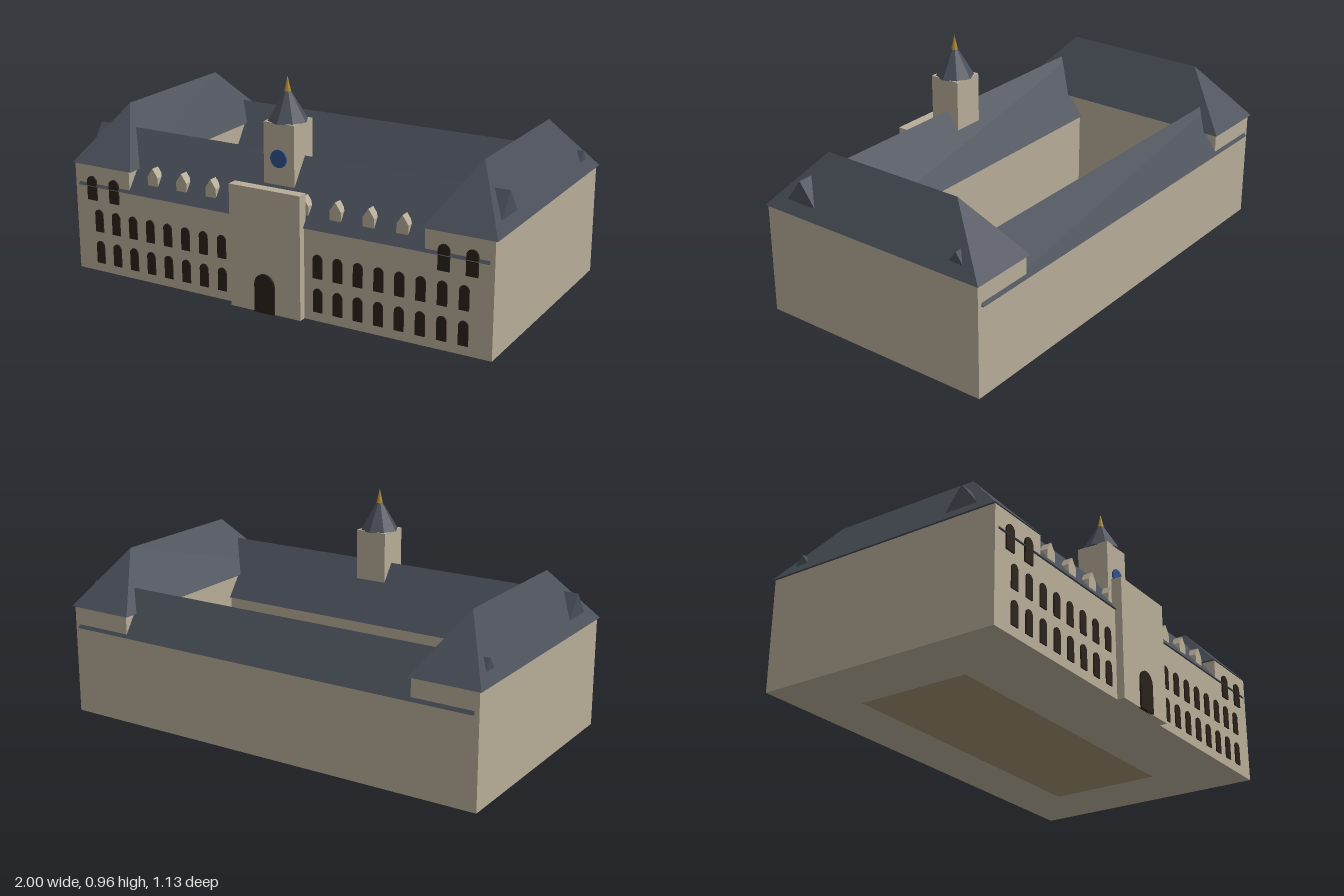
import * as THREE from 'three';
import { ConvexGeometry } from 'three/addons/geometries/ConvexGeometry.js';

const mat = (color) => new THREE.MeshStandardMaterial({ color, flatShading: true });

export function createModel() {
  const model = new THREE.Group();
  const stone = mat(0xb8ad98), slate = mat(0x4a4f59), dark = mat(0x2a2018);
  const paving = mat(0xa09070), blue = mat(0x2f4f8f), gold = mat(0xb08a30);

  const add = (name, geometry, material, parent = model) => {
    const mesh = new THREE.Mesh(geometry, material);
    mesh.name = name;
    parent.add(mesh);
    return mesh;
  };
  const group = (name) => {
    const g = new THREE.Group();
    g.name = name;
    model.add(g);
    return g;
  };
  // Box given by its limits on each axis
  const block = (name, [x0, x1], [y0, y1], [z0, z1], material) => {
    const mesh = add(name, new THREE.BoxGeometry(x1 - x0, y1 - y0, z1 - z0), material);
    mesh.position.set((x0 + x1) / 2, (y0 + y1) / 2, (z0 + z1) / 2);
    return mesh;
  };
  // Solid roof over a rectangle, rising to a ridge between two points
  const roof = (name, [x0, x1], [z0, z1], eave, ridgeA, ridgeB) => {
    const corners = [[x0, eave, z0], [x1, eave, z0], [x0, eave, z1], [x1, eave, z1], ridgeA, ridgeB];
    return add(name, new ConvexGeometry(corners.map((p) => new THREE.Vector3(...p))), slate);
  };
  // Round-arched panel standing on y = 0
  const archPanel = (w, h, depth) => {
    const s = new THREE.Shape();
    s.moveTo(-w / 2, 0);
    s.lineTo(w / 2, 0);
    s.lineTo(w / 2, h - w / 2);
    s.absarc(0, h - w / 2, w / 2, 0, Math.PI);
    s.lineTo(-w / 2, 0);
    return new THREE.ExtrudeGeometry(s, { depth, bevelEnabled: false, curveSegments: 8 });
  };

  // Courtyard and the long wings
  block('courtyardFloor', [-0.7, 0.7], [0, 0.01], [-0.32, 0.185], paving);
  block('frontWingWalls', [-0.7, 0.7], [0, 0.39], [0.185, 0.525], stone);
  block('backWingWalls', [-0.7, 0.7], [0, 0.39], [-0.555, -0.32], stone);
  roof('frontWingRoof', [-0.97, 0.97], [0.175, 0.534], 0.39, [-0.97, 0.63, 0.355], [0.97, 0.63, 0.355]);
  roof('backWingRoof', [-0.97, 0.97], [-0.565, -0.31], 0.39, [-0.97, 0.577, -0.438], [0.97, 0.577, -0.438]);

  // Taller side wings with hipped roofs
  for (const [side, s] of [['left', 1], ['right', -1]]) {
    const span = (a, b) => (s > 0 ? [a, b] : [-b, -a]);
    block(side + 'WingWalls', span(0.7, 0.99), [0, 0.485], [-0.555, 0.525], stone);
    roof(side + 'WingRoof', span(0.688, 1), [-0.565, 0.531], 0.485, [s * 0.844, 0.722, -0.345], [s * 0.844, 0.722, 0.313]);
  }

  // Arched windows of the front
  const windows = group('windows');
  const smallWindow = archPanel(0.042, 0.102, 0.01);
  const largeWindow = archPanel(0.05, 0.108, 0.012);
  for (const s of [-1, 1]) {
    for (let i = 0; i < 8; i++) {
      for (const y of [0.04, 0.185]) {
        add('window', smallWindow, dark, windows).position.set(s * (0.23 + i * 0.0914), y, 0.52);
      }
    }
    for (const x of [0.782, 0.9]) {
      add('upperWindow', largeWindow, dark, windows).position.set(s * x, 0.328, 0.52);
    }
  }

  // Gabled dormers along the front roof
  const gable = new THREE.Shape([[-0.026, 0.425], [0.026, 0.425], [0.026, 0.472], [0, 0.51], [-0.026, 0.472]]
    .map(([x, y]) => new THREE.Vector2(x, y)));
  const dormerGeometry = new THREE.ExtrudeGeometry(gable, { depth: 0.04, bevelEnabled: false });
  const dormers = group('dormers');
  for (let i = -4; i <= 4; i++) {
    add('dormer', dormerGeometry, stone, dormers).position.set(i * 0.148, 0, 0.462);
  }

  // Entrance block and door
  block('entranceBlock', [-0.167, 0.167], [0, 0.53], [0.512, 0.558], stone);
  add('door', archPanel(0.094, 0.17, 0.015), dark).position.set(0, 0, 0.551);

  // Clock tower with octagonal spire
  block('clockTower', [-0.072, 0.072], [0.39, 0.775], [0.296, 0.44], stone);
  const clock = add('clockFace', new THREE.CylinderGeometry(0.038, 0.038, 0.01, 24), blue);
  clock.rotation.x = Math.PI / 2;
  clock.position.set(0, 0.628, 0.441);
  add('towerRoof', new THREE.ConeGeometry(0.085, 0.145, 8), slate).position.set(0, 0.8455, 0.368);
  add('finial', new THREE.ConeGeometry(0.017, 0.077, 8), gold).position.set(0, 0.92, 0.368);

  return model;
}
